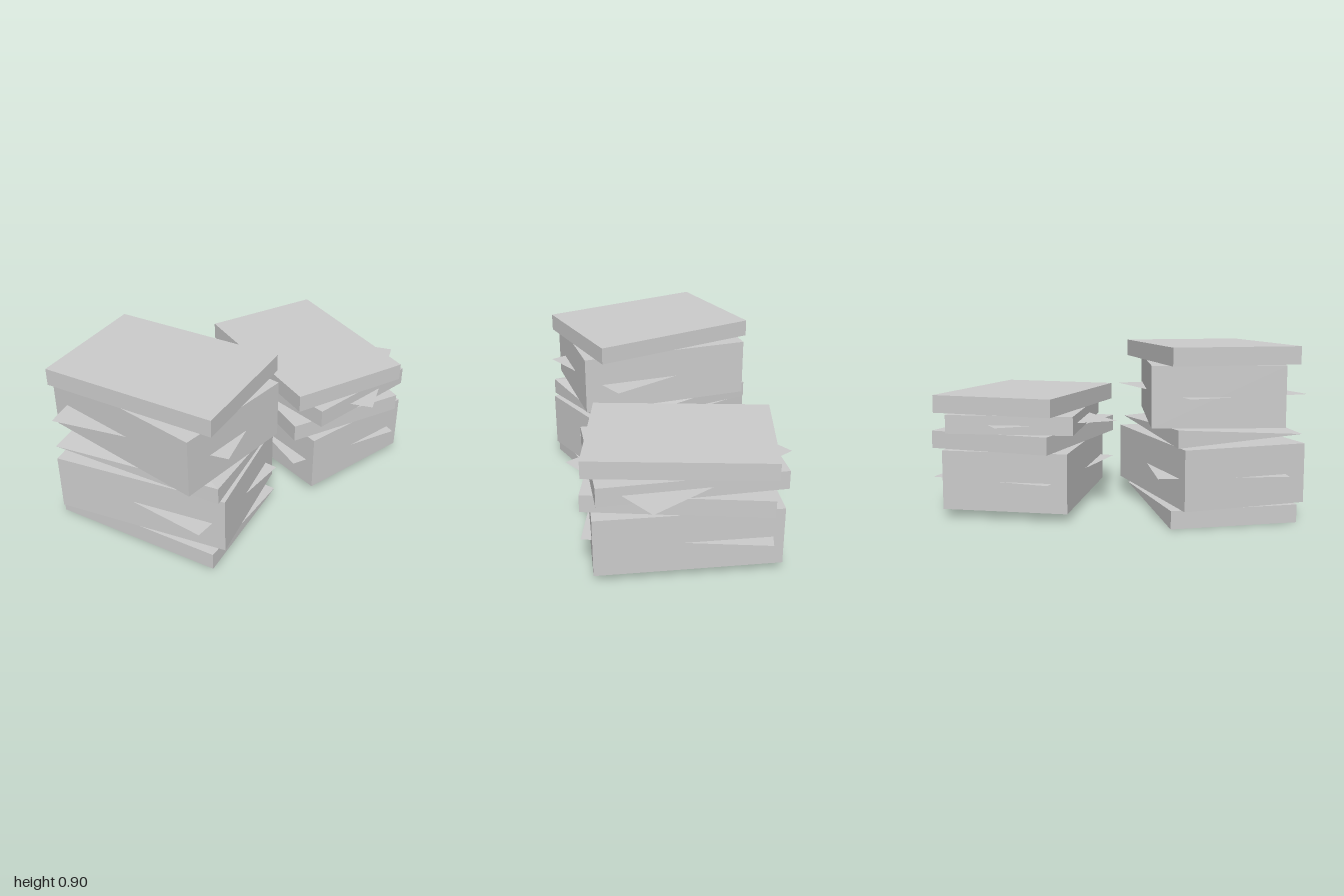
import * as THREE from 'three';

const W = 0.665, D = 0.935;
const rad = THREE.MathUtils.degToRad;
const material = new THREE.MeshStandardMaterial({ color: 0xcccccc, flatShading: true });
const sheetMaterial = new THREE.MeshStandardMaterial({ color: 0xcccccc, flatShading: true, side: THREE.DoubleSide });

// Box layer between two heights; pinched corners [sx, sz] close to mid height
function slab({ name, from, to, turn, pinch = [] }) {
  let geo = new THREE.BoxGeometry(W, to - from, D);
  const p = geo.attributes.position;
  for (let i = 0; i < p.count; i++) {
    if (pinch.some(([sx, sz]) => p.getX(i) * sx > 0 && p.getZ(i) * sz > 0)) p.setY(i, 0);
  }
  geo = geo.toNonIndexed();
  geo.computeVertexNormals();
  const mesh = new THREE.Mesh(geo, material);
  mesh.name = name;
  mesh.position.y = (from + to) / 2;
  mesh.rotation.y = rad(turn);
  return mesh;
}

// Paper-thin layer whose corners poke out of the slab around it
function sheet({ name, at, turn }) {
  const geo = new THREE.PlaneGeometry(W, D).rotateX(-Math.PI / 2);
  const mesh = new THREE.Mesh(geo, sheetMaterial);
  mesh.name = name;
  mesh.position.y = at;
  mesh.rotation.y = rad(turn);
  return mesh;
}

function stack(name, x, z, slabs, sheets) {
  const group = new THREE.Group();
  group.name = name;
  group.position.set(x, 0, z);
  group.add(...slabs.map(slab), ...sheets.map(sheet));
  return group;
}

export function createModel() {
  const model = new THREE.Group();
  model.name = 'stacks';

  // Taller stack
  model.add(stack('tallStack', -0.505, -0.042, [
    { name: 'bottomSlab', from: 0, to: 0.093, turn: 15, pinch: [[1, 1]] },
    { name: 'lowerBlock', from: 0.093, to: 0.4, turn: 22 },
    { name: 'pinchedSlab', from: 0.407, to: 0.497, turn: 18.5, pinch: [[1, 1], [-1, -1]] },
    { name: 'upperBlock', from: 0.497, to: 0.806, turn: 4 },
    { name: 'topSlab', from: 0.806, to: 0.897, turn: 15.5 },
  ], [
    { name: 'lowerSheet', at: 0.247, turn: 8 },
    { name: 'upperSheet', at: 0.65, turn: 24.5 },
  ]));

  // Shorter stack
  model.add(stack('shortStack', 0.489, 0.037, [
    { name: 'bottomBlock', from: 0.042, to: 0.352, turn: -7.4 },
    { name: 'lowerSlab', from: 0.352, to: 0.444, turn: -18 },
    { name: 'middleSlab', from: 0.444, to: 0.541, turn: -4 },
    { name: 'topSlab', from: 0.541, to: 0.634, turn: -16 },
  ], [
    { name: 'lowerSheet', at: 0.197, turn: -18 },
    { name: 'upperSheet', at: 0.492, turn: 27 },
  ]));

  return model;
}
